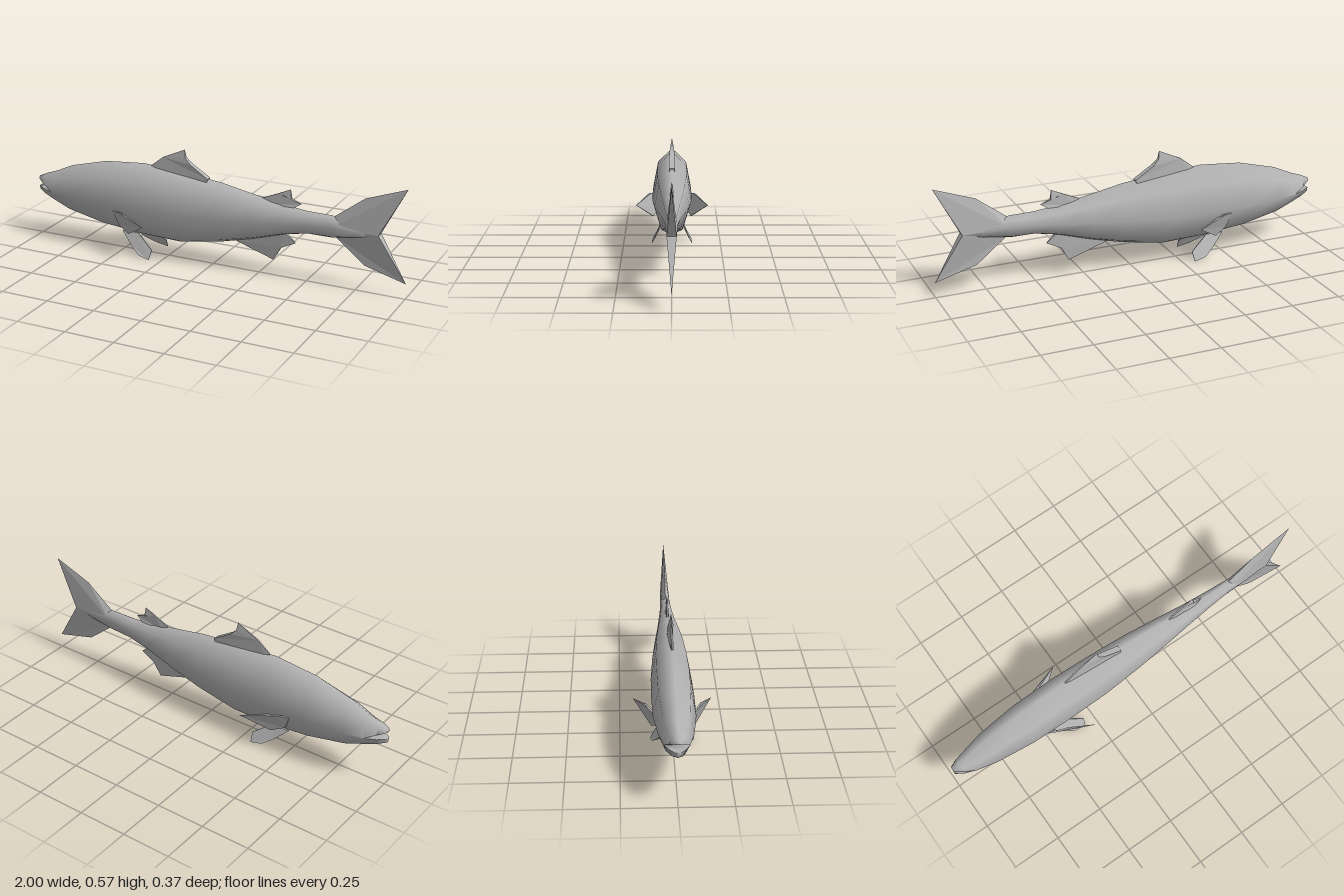
import * as THREE from 'three';
import { mergeGeometries, toCreasedNormals } from 'three/addons/utils/BufferGeometryUtils.js';

const V = (x, y, z) => new THREE.Vector3(x, y, z);

function fromTriangles(tris) {
  const g = new THREE.BufferGeometry().setFromPoints(tris.flat());
  g.computeVertexNormals();
  return g;
}

// Eight-sided cross-section, running from the top round by +z
function ring([x, top, mid, bottom, w]) {
  const up = mid + 0.64 * (top - mid), low = mid - 0.82 * (mid - bottom);
  return [V(x, top, 0), V(x, up, 0.75 * w), V(x, mid, w), V(x, low, 0.6 * w),
    V(x, bottom, 0), V(x, low, -0.6 * w), V(x, mid, -w), V(x, up, -0.75 * w)];
}

// Skin a row of rings; pick selects which ring points to use
function loft(sections, pick, capFront, capEnd) {
  const rings = sections.map((s) => { const r = ring(s); return pick.map((k) => r[k]); });
  const n = pick.length, tris = [];
  for (let i = 0; i < rings.length - 1; i++) {
    for (let j = 0; j < n; j++) {
      const k = (j + 1) % n, p = rings[i], q = rings[i + 1];
      tris.push([p[j], p[k], q[j]], [p[k], q[k], q[j]]);
    }
  }
  const cap = (r, flip) => {
    for (let j = 1; j < n - 1; j++) tris.push(flip ? [r[0], r[j + 1], r[j]] : [r[0], r[j], r[j + 1]]);
  };
  if (capFront) cap(rings[0], true);
  if (capEnd) cap(rings[rings.length - 1], false);
  return fromTriangles(tris);
}

// Tapered fin: outline of [x, y, z, half thickness]
function fin(outline) {
  let pts = outline;
  let flat = pts.map((p) => new THREE.Vector2(p[0], p[1]));
  if (THREE.ShapeUtils.isClockWise(flat)) {
    pts = [...pts].reverse();
    flat = flat.reverse();
  }
  const a = pts.map(([x, y, z, t]) => V(x, y, z + t));
  const b = pts.map(([x, y, z, t]) => V(x, y, z - t));
  const tris = [];
  for (const [i, j, k] of THREE.ShapeUtils.triangulateShape(flat, [])) {
    tris.push([a[i], a[j], a[k]], [b[i], b[k], b[j]]);
  }
  pts.forEach((p, i) => {
    const j = (i + 1) % pts.length;
    if (p[3] > 0) tris.push([a[i], b[i], a[j]]);
    if (pts[j][3] > 0) tris.push([b[i], b[j], a[j]]);
  });
  return fromTriangles(tris);
}

export function createModel() {
  const model = new THREE.Group();
  model.name = 'fish';
  const grey = new THREE.MeshStandardMaterial({ color: 0xb4b4b4 });
  grey.name = 'fish grey';
  const add = (name, geometry) => {
    const m = new THREE.Mesh(geometry, grey);
    m.name = name;
    model.add(m);
  };

  // Body sections: x, top, widest height, bottom, half width
  const neck = [-0.9, 0.355, 0.255, 0.2, 0.058];
  const trunk = [
    neck,
    [-0.8, 0.4, 0.255, 0.16, 0.08],
    [-0.6, 0.452, 0.25, 0.117, 0.099],
    [-0.38, 0.472, 0.25, 0.092, 0.101],
    [-0.18, 0.456, 0.25, 0.086, 0.098],
    [0.04, 0.436, 0.265, 0.125, 0.085],
    [0.22, 0.402, 0.28, 0.172, 0.068],
    [0.38, 0.374, 0.29, 0.222, 0.05],
    [0.5, 0.361, 0.3, 0.247, 0.039],
    [0.62, 0.36, 0.305, 0.248, 0.029],
    [0.76, 0.338, 0.303, 0.27, 0.025],
    [0.85, 0.308, 0.303, 0.298, 0.018],
  ];
  // The jaws part along the widest line to leave an open mouth
  const upperJaw = [[-1, 0.315, 0.304, 0.304, 0.014], [-0.96, 0.334, 0.286, 0.286, 0.038], neck];
  const lowerJaw = [[-0.998, 0.265, 0.265, 0.241, 0.014], [-0.96, 0.262, 0.262, 0.222, 0.038], neck];
  add('body', toCreasedNormals(mergeGeometries([
    loft(trunk, [0, 1, 2, 3, 4, 5, 6, 7], false, true),
    loft(upperJaw, [6, 7, 0, 1, 2], true, false),
    loft(lowerJaw, [2, 3, 4, 5, 6], true, false),
  ]), 1.65));

  // Fins on the centre line
  add('frontDorsalFin', fin([
    [-0.345, 0.465, 0, 0.003], [-0.275, 0.52, 0, 0.004], [-0.155, 0.575, 0, 0], [-0.15, 0.535, 0, 0.008],
    [-0.12, 0.505, 0, 0.013], [-0.025, 0.445, 0, 0.015], [-0.03, 0.425, 0, 0.015], [-0.32, 0.445, 0, 0.008],
  ]));
  add('rearDorsalFin', fin([
    [0.265, 0.392, 0, 0.003], [0.35, 0.428, 0, 0.004], [0.41, 0.456, 0, 0], [0.415, 0.41, 0, 0.008],
    [0.465, 0.39, 0, 0.002], [0.43, 0.368, 0, 0.009], [0.3, 0.365, 0, 0.009],
  ]));
  add('analFin', fin([
    [0.12, 0.148, 0, 0.003], [0.325, 0.08, 0, 0], [0.365, 0.15, 0, 0.006],
    [0.44, 0.187, 0, 0.002], [0.38, 0.24, 0, 0.009], [0.16, 0.175, 0, 0.009],
  ]));

  // Tail lobes, thickest where they meet at the fork
  add('upperTailLobe', fin([
    [0.63, 0.304, 0, 0.025], [0.862, 0.303, 0, 0.022], [0.99, 0.545, 0, 0], [0.785, 0.47, 0, 0], [0.635, 0.357, 0, 0],
  ]));
  add('lowerTailLobe', fin([
    [0.63, 0.304, 0, 0.025], [0.862, 0.303, 0, 0.022], [1, 0.077, 0, 0], [0.79, 0.135, 0, 0], [0.645, 0.252, 0, 0],
  ]));

  // Paired fins, one on each flank
  for (const [side, s] of [['left', 1], ['right', -1]]) {
    add(side + 'PectoralFin', fin([
      [-0.52, 0.225, s * 0.088, 0.005], [-0.47, 0.234, s * 0.115, 0.005], [-0.42, 0.231, s * 0.13, 0.004],
      [-0.3, 0.203, s * 0.184, 0.001], [-0.425, 0.121, s * 0.1, 0.003], [-0.49, 0.15, s * 0.075, 0.005],
    ]));
    add(side + 'PelvicFin', fin([
      [-0.49, 0.11, s * 0.042, 0.004], [-0.4, 0.112, s * 0.042, 0.004], [-0.305, 0.046, s * 0.08, 0.002],
      [-0.31, 0.001, s * 0.104, 0.001], [-0.372, 0.015, s * 0.098, 0.002], [-0.425, 0.05, s * 0.07, 0.005],
    ]));
  }
  return model;
}
